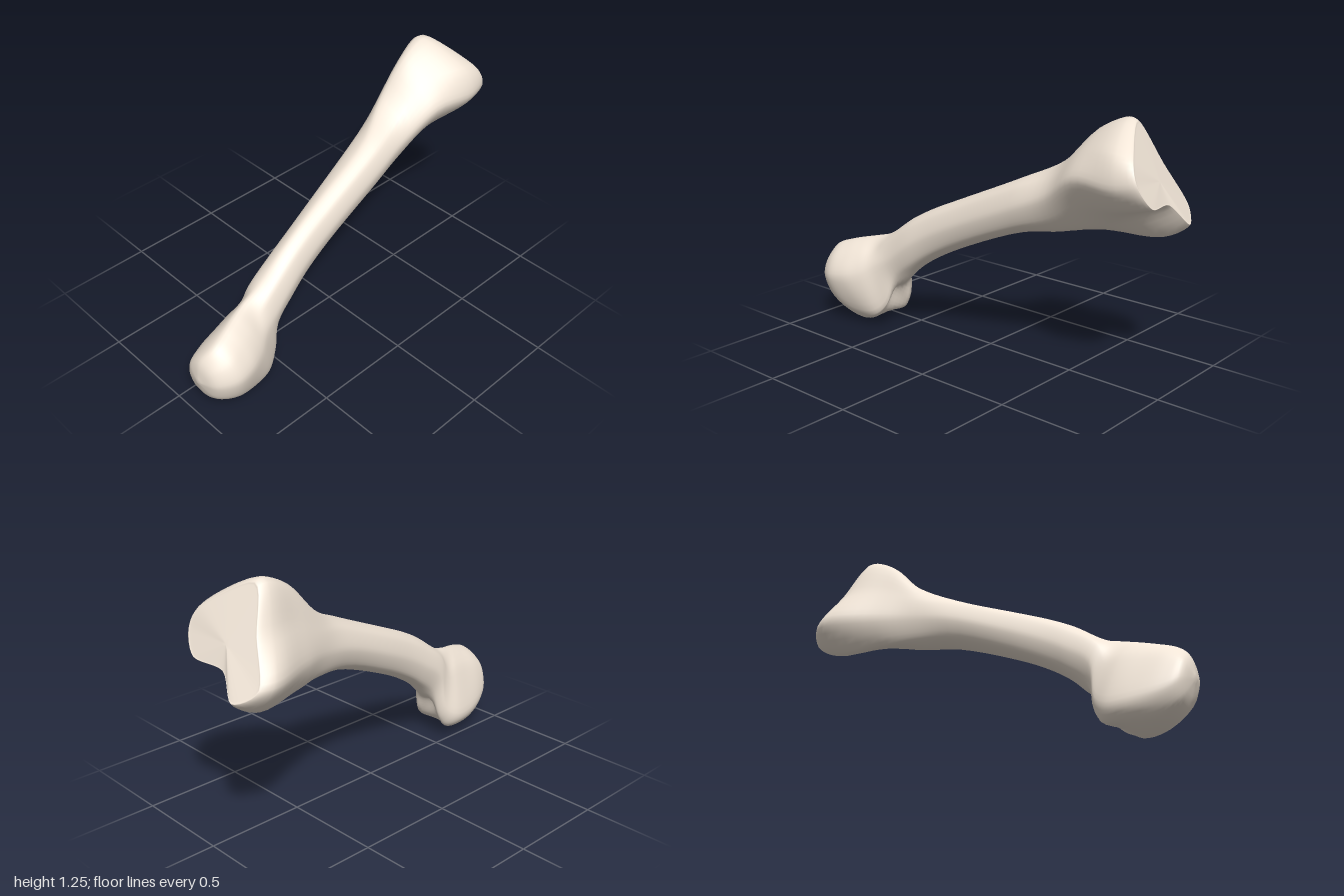
import * as THREE from 'three';
import { mergeVertices } from 'three/addons/utils/BufferGeometryUtils.js';

const AROUND = 48, PER_SPAN = 5;

// Oval section, clockwise from the top as seen from the front.
// Bottom and top may lie at different depths.
function oval(xl, xr, yb, yt, zb, zt = zb) {
  return Array.from({ length: 8 }, (_, i) => {
    const s = Math.sin(i * Math.PI / 4), c = Math.cos(i * Math.PI / 4);
    return new THREE.Vector3(
      (xl + xr) / 2 + s * (xr - xl) / 2,
      (yb + yt) / 2 + c * (yt - yb) / 2,
      (zb + zt) / 2 + c * (zt - zb) / 2);
  });
}

// Section with eight explicit corners, in the same order.
const outline = (...pts) => pts.map(p => new THREE.Vector3(...p));

// Copy of a section shrunk towards a centre.
const shrink = (ring, centre, k) => ring.map(p => p.clone().lerp(centre, 1 - k));

// Smooth skin through all sections, front to back.
function loft(rings) {
  const smooth = rings.map(r => {
    const loop = new THREE.CatmullRomCurve3(r, true, 'catmullrom', 0.42);
    return Array.from({ length: AROUND }, (_, i) => loop.getPoint(i / AROUND));
  });
  const rows = (rings.length - 1) * PER_SPAN;
  const pos = [], index = [];
  const columns = smooth[0].map((_, i) => new THREE.CatmullRomCurve3(smooth.map(r => r[i]), false, 'centripetal'));
  for (let j = 0; j <= rows; j++) {
    for (const col of columns) pos.push(...col.getPoint(j / rows).toArray());
  }
  for (let j = 0; j < rows; j++) {
    for (let i = 0; i < AROUND; i++) {
      const a = j * AROUND + i, b = j * AROUND + (i + 1) % AROUND;
      index.push(a, b, a + AROUND, b, b + AROUND, a + AROUND);
    }
  }
  const geo = new THREE.BufferGeometry();
  geo.setAttribute('position', new THREE.Float32BufferAttribute(pos, 3));
  geo.setIndex(index);
  const merged = mergeVertices(geo, 1e-5);
  merged.computeVertexNormals();
  return merged;
}

export function createModel() {
  // Rounded lower end
  const tip = outline(...Array(8).fill([0.17, 0.23, 1.0]));
  const knuckle = [
    outline([0.17, 0.34, 0.98], [0.24, 0.31, 0.97], [0.27, 0.24, 0.965], [0.24, 0.15, 0.955],
      [0.17, 0.1, 0.95], [0.09, 0.12, 0.955], [0.07, 0.2, 0.97], [0.1, 0.29, 0.98]),
    outline([0.19, 0.405, 0.92], [0.28, 0.35, 0.89], [0.322, 0.25, 0.88], [0.28, 0.12, 0.87],
      [0.18, 0.025, 0.84], [0.06, 0.06, 0.86], [0.02, 0.16, 0.89], [0.085, 0.33, 0.92]),
    outline([0.17, 0.44, 0.83], [0.26, 0.38, 0.8], [0.315, 0.26, 0.78], [0.25, 0.065, 0.73],
      [0.15, 0.005, 0.72], [0.02, 0.05, 0.73], [-0.02, 0.14, 0.75], [0.065, 0.36, 0.8]),
  ];

  // Two lobes hooking backwards, with a groove between them
  const lobes = [
    outline([0.145, 0.46, 0.755], [0.23, 0.4, 0.72], [0.278, 0.28, 0.69], [0.23, 0.075, 0.62],
      [0.125, 0.075, 0.645], [0.025, 0.06, 0.605], [-0.027, 0.14, 0.65], [0.045, 0.37, 0.7]),
    outline([0.12, 0.48, 0.67], [0.195, 0.42, 0.65], [0.235, 0.33, 0.62], [0.2, 0.14, 0.555],
      [0.115, 0.2, 0.59], [0.04, 0.13, 0.555], [0, 0.19, 0.575], [0.035, 0.37, 0.63]),
  ];

  // Slim shaft
  const shaft = [
    oval(0.015, 0.21, 0.25, 0.505, 0.5, 0.59),
    oval(0.01, 0.192, 0.345, 0.615, 0.4, 0.43),
    oval(0.0, 0.174, 0.415, 0.685, 0.3),
    oval(-0.025, 0.157, 0.5, 0.757, 0.14),
    oval(-0.09, 0.13, 0.645, 0.917, -0.22),
  ];

  // Flared upper end: a crest on top, two lobes and a hollow between them
  const neck = outline(
    [-0.07, 1.02, -0.42], [0.06, 0.97, -0.42], [0.115, 0.87, -0.42], [0.07, 0.75, -0.42],
    [-0.02, 0.678, -0.42], [-0.1, 0.71, -0.42], [-0.137, 0.82, -0.42], [-0.12, 0.94, -0.42]);
  const flare = outline(
    [-0.09, 1.185, -0.585], [0.07, 1.11, -0.6], [0.16, 0.99, -0.6], [0.085, 0.85, -0.6],
    [-0.05, 0.73, -0.6], [-0.15, 0.705, -0.6], [-0.215, 0.84, -0.6], [-0.16, 1.02, -0.59]);
  const head = outline(
    [-0.105, 1.25, -0.72], [0.135, 1.135, -0.8], [0.19, 0.99, -0.83], [0.105, 0.875, -0.82],
    [-0.04, 0.81, -0.8], [-0.2, 0.7, -0.87], [-0.325, 0.85, -0.85], [-0.215, 1.04, -0.77]);
  const rim = outline(
    [-0.1, 1.24, -0.77], [0.12, 1.115, -0.895], [0.158, 1.01, -0.945], [0.085, 0.905, -0.98],
    [-0.09, 0.885, -0.955], [-0.2, 0.78, -1.0], [-0.3, 0.85, -0.925], [-0.2, 1.04, -0.85]);

  // Flat joint face closing the upper end
  const centre = new THREE.Vector3(-0.07, 0.99, -0.915);
  const jointFace = [0.95, 0.5, 0].map(k => shrink(rim, centre, k));

  const bone = new THREE.Mesh(
    loft([tip, ...knuckle, ...lobes, ...shaft, neck, flare, head, rim, ...jointFace]),
    new THREE.MeshStandardMaterial({ color: 0xf0e4d6 }));
  bone.name = 'bone';

  const group = new THREE.Group();
  group.name = 'limbBone';
  group.add(bone);
  return group;
}
